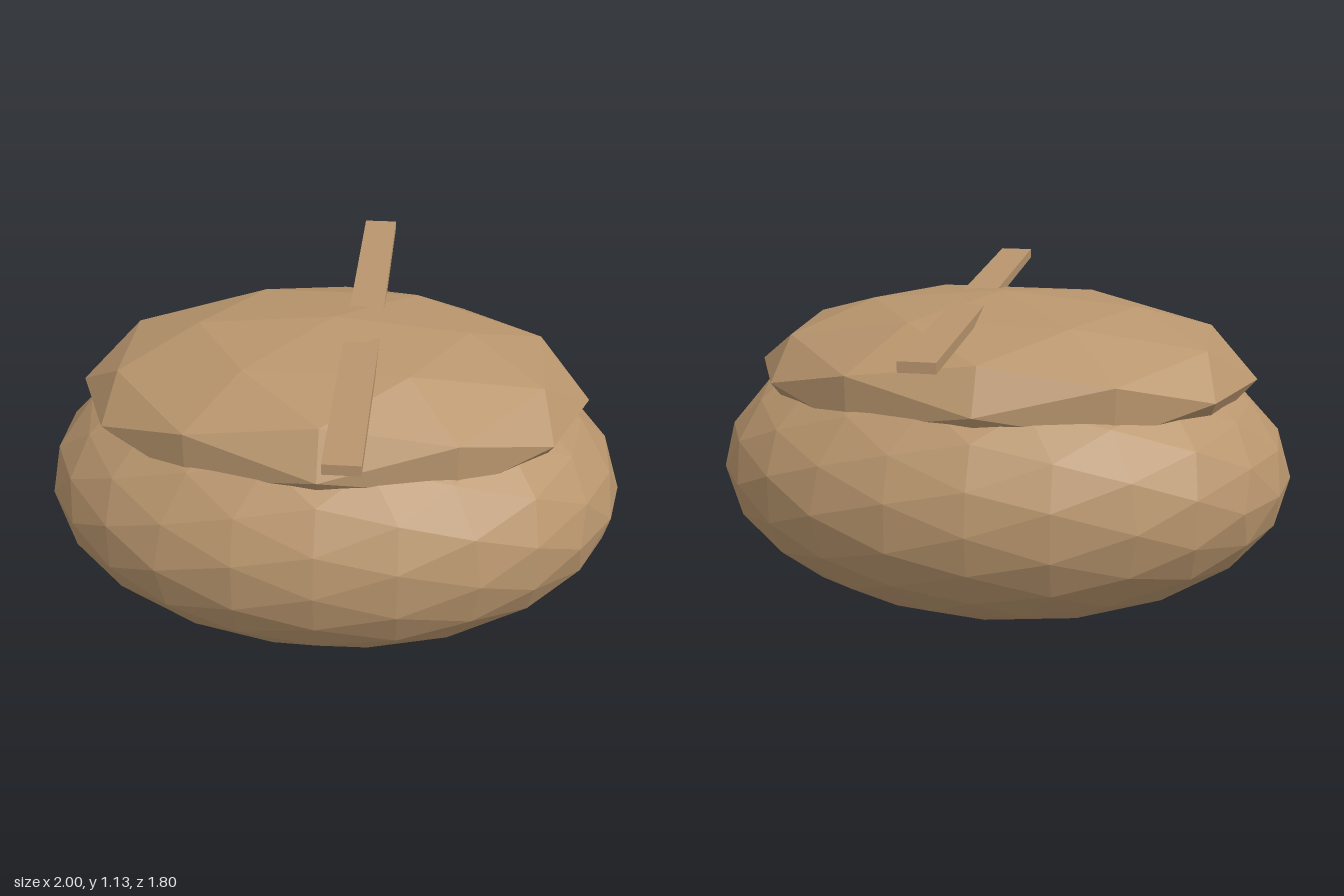
import * as THREE from 'three';

const tan = new THREE.MeshStandardMaterial({ color: 0xb8956d });
tan.name = 'tan';

// Icosphere by repeated midpoint splitting, one flat normal per facet
function icosphere(splits) {
  const p = new THREE.IcosahedronGeometry(1, 0).getAttribute('position');
  let tris = [];
  for (let i = 0; i < p.count; i += 3) {
    tris.push([0, 1, 2].map((k) => new THREE.Vector3().fromBufferAttribute(p, i + k)));
  }
  const mid = (a, b) => a.clone().add(b).normalize();
  for (let s = 0; s < splits; s++) {
    tris = tris.flatMap(([a, b, c]) => {
      const ab = mid(a, b), bc = mid(b, c), ca = mid(c, a);
      return [[a, ab, ca], [ab, b, bc], [ca, bc, c], [ab, bc, ca]];
    });
  }
  return new THREE.BufferGeometry().setFromPoints(tris.flat());
}

function ellipsoid(name, splits, rx, ry, rz, y) {
  const geometry = icosphere(splits).scale(rx, ry, rz);
  geometry.computeVertexNormals();
  const mesh = new THREE.Mesh(geometry, tan);
  mesh.name = name;
  mesh.position.y = y;
  return mesh;
}

export function createModel() {
  const group = new THREE.Group();
  group.name = 'lidded pot';

  // Rounded body, with a coarser flattened lid sunk into its top
  group.add(ellipsoid('body', 2, 1, 0.512, 0.75, 0.516));
  group.add(ellipsoid('lid', 1, 0.87, 0.275, 0.612, 0.86));

  // Flat bar running front to back through the crown of the lid
  const bar = new THREE.Mesh(new THREE.BoxGeometry(0.116, 0.034, 1.8), tan);
  bar.name = 'bar';
  bar.position.set(0.102, 1.095, 0);
  group.add(bar);

  return group;
}
